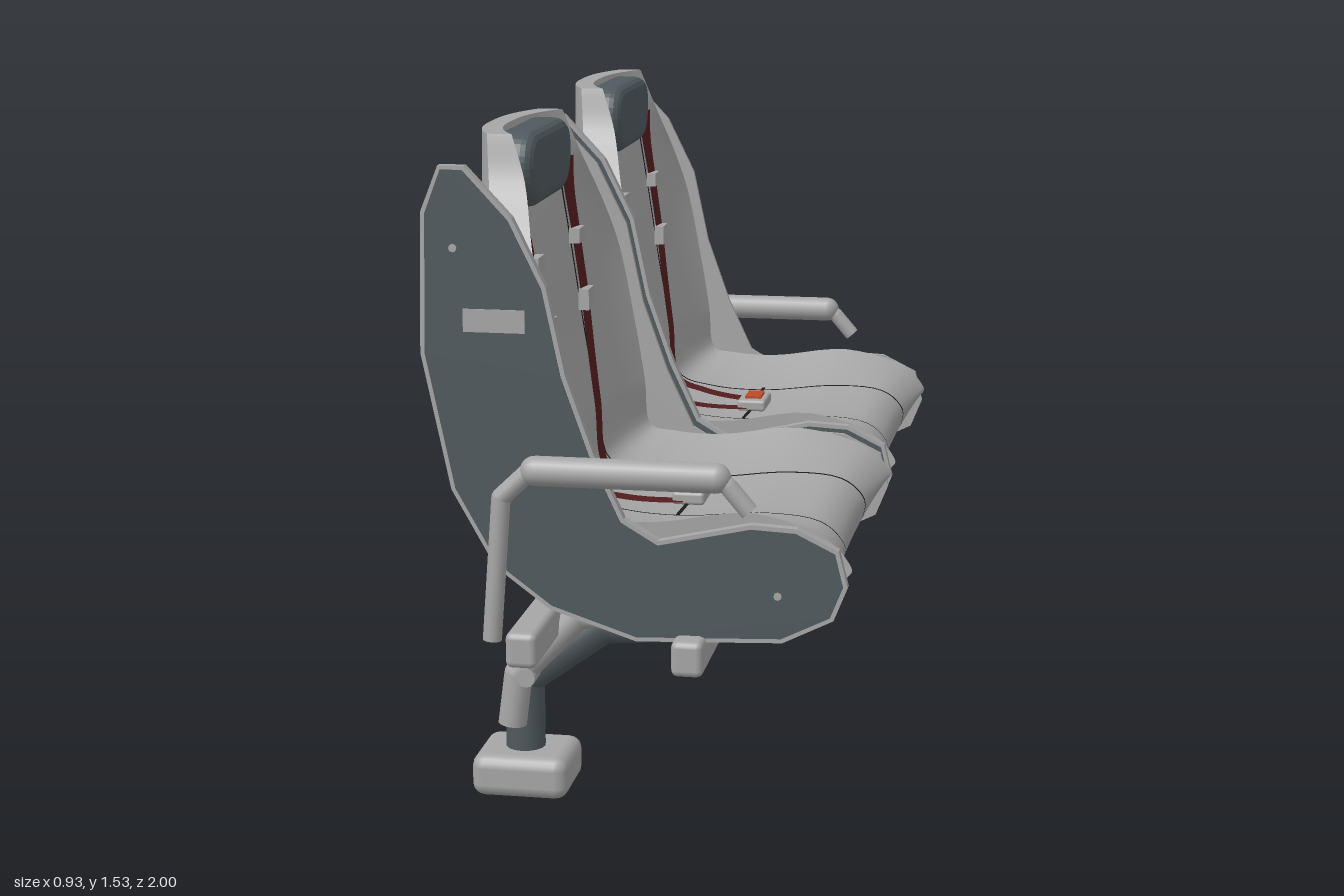
import * as THREE from 'three';
import { RoundedBoxGeometry } from 'three/addons/geometries/RoundedBoxGeometry.js';
import { ParametricGeometry } from 'three/addons/geometries/ParametricGeometry.js';

const paint = (name, color, side = THREE.FrontSide) => {
  const m = new THREE.MeshStandardMaterial({ color, side });
  m.name = name;
  return m;
};
const grey = paint('light grey', 0xa6a6a6, THREE.DoubleSide);
const slate = paint('slate', 0x4f595d);
const red = paint('belt red', 0x541d1f, THREE.DoubleSide);
const orange = paint('button orange', 0xbc4a28);
const black = paint('seam black', 0x1c1c1c, THREE.DoubleSide);

function add(parent, name, geometry, material, x = 0, y = 0, z = 0) {
  const mesh = new THREE.Mesh(geometry, material);
  mesh.name = name;
  mesh.position.set(x, y, z);
  parent.add(mesh);
  return mesh;
}

// Bent pipe: capped straight runs with ball joints, points given as [x, y]
function pipe(parent, name, points, radius, material, z) {
  const g = new THREE.Group();
  g.name = name;
  g.position.z = z;
  const pts = points.map(([x, y]) => new THREE.Vector3(x, y, 0));
  for (let i = 0; i < pts.length - 1; i++) {
    const dir = pts[i + 1].clone().sub(pts[i]);
    const run = add(g, name + 'Run', new THREE.CylinderGeometry(radius, radius, dir.length(), 16), material);
    run.position.copy(pts[i]).addScaledVector(dir, 0.5);
    run.quaternion.setFromUnitVectors(new THREE.Vector3(0, 1, 0), dir.normalize());
    if (i > 0) add(g, name + 'Bend', new THREE.SphereGeometry(radius, 16, 10), material, pts[i].x, pts[i].y);
  }
  parent.add(g);
}

// Seat sections from the top of the back to the front lip:
// [centre x, centre y, half width, edge shift x, edge shift y]
const FRONT = [
  [-.365, 1.53, .25, .06, 0], [-.34, 1.43, .28, .07, 0], [-.305, 1.3, .37, .07, 0],
  [-.28, 1.18, .42, .075, 0], [-.25, 1, .425, .08, 0], [-.22, .85, .425, .075, 0],
  [-.19, .705, .425, .06, .03], [-.1, .672, .42, .03, .05], [.05, .66, .41, 0, .06],
  [.25, .675, .4, 0, .07], [.37, .665, .415, .04, .035], [.415, .62, .42, .05, .02], [.41, .565, .42, .045, .05],
];
const BACK = [
  [-.41, 1.53, .25, .05, 0], [-.41, 1.43, .28, .06, 0], [-.41, 1.3, .37, .08, 0],
  [-.41, 1.18, .42, .09, 0], [-.395, 1, .425, .09, 0], [-.365, .82, .425, .09, 0],
  [-.3, .67, .425, .09, .04], [-.17, .58, .42, .07, .06], [.05, .55, .41, 0, .07],
  [.25, .545, .4, 0, .08], [.34, .545, .415, .04, .07], [.385, .545, .42, .045, .06], [.405, .55, .42, .045, .06],
];
function surface(rows) {
  const mid = new THREE.CatmullRomCurve3(rows.map(r => new THREE.Vector3(r[0], r[1], r[2])));
  const edge = new THREE.CatmullRomCurve3(rows.map(r => new THREE.Vector3(r[3], r[4], 0)), false, 'catmullrom', 0.5);
  const at = (u, v, out) => {
    const m = mid.getPoint(v), e = edge.getPoint(v), k = Math.abs(u) ** 2.6;
    return out.set(m.x + e.x * k, m.y + e.y * k, m.z * u);
  };
  return { at, mid };
}
const front = surface(FRONT), back = surface(BACK);
const sheet = (fn, nu, nv) => new ParametricGeometry(fn, nu, nv);

// Strip lying on the seat, centred on z = zAt(v)
function ribbon(v0, v1, zAt, width, lift) {
  return sheet((a, b, out) => {
    const v = v0 + (v1 - v0) * b, c = front.mid.getPoint(v), t = front.mid.getTangent(Math.min(v, .99));
    const n = Math.hypot(t.x, t.y) || 1;
    front.at((zAt(v) + (a - .5) * width) / c.z, v, out);
    out.x -= t.y / n * lift;
    out.y += t.x / n * lift;
  }, 3, 48);
}
const BELT = [[.09, .22], [.2, .212], [.292, .197], [.417, .143], [.5, .108], [.58, .085], [.66, .05]];
function beltZ(v) {
  let i = 0;
  while (i < BELT.length - 2 && v > BELT[i + 1][0]) i++;
  const [a, p] = BELT[i], [b, q] = BELT[i + 1];
  return p + (q - p) * (v - a) / (b - a);
}

// Headrest: soft-cornered pad, a little narrower at the bottom
function headrestGeometry() {
  const s = new THREE.Shape();
  s.moveTo(0, .055);
  s.lineTo(.135, .055);
  s.quadraticCurveTo(.176, .052, .176, .01);
  s.quadraticCurveTo(.172, -.05, .115, -.055);
  s.lineTo(-.115, -.055);
  s.quadraticCurveTo(-.172, -.05, -.176, .01);
  s.quadraticCurveTo(-.176, .052, -.135, .055);
  const bevel = { bevelThickness: .03, bevelSize: .03, bevelSegments: 4, curveSegments: 8 };
  return new THREE.ExtrudeGeometry(s, { depth: .04, ...bevel }).rotateY(Math.PI / 2);
}

// Side panel outline and its inset for the dark facing
const PANEL = [
  [-.42, 1.485], [-.46, 1.385], [-.467, 1.08], [-.405, .78], [-.31, .61], [-.19, .52], [0, .457], [.32, .47],
  [.43, .525], [.46, .6], [.44, .68], [.35, .725], [.25, .73], [.05, .685], [-.025, .73], [-.09, .87],
  [-.15, 1.04], [-.19, 1.23], [-.262, 1.377], [-.363, 1.485],
].map(p => new THREE.Vector2(...p));
const inset = (pts, d) => pts.map((p, i) => {
  const n = pts.length;
  const a = p.clone().sub(pts[(i + n - 1) % n]).normalize(), b = pts[(i + 1) % n].clone().sub(p).normalize();
  const s = a.add(b).normalize();
  return new THREE.Vector2(p.x - s.y * d, p.y + s.x * d);
});
const plate = (pts, depth) => new THREE.ExtrudeGeometry(new THREE.Shape(pts), { depth, bevelEnabled: false });

function sidePanel(seat, z, side, thick) {
  const g = new THREE.Group();
  g.name = 'sidePanel';
  g.position.z = z;
  add(g, 'panelBoard', plate(PANEL, thick), grey, 0, 0, -thick / 2);
  const face = side * thick / 2;
  add(g, 'panelFacing', plate(inset(PANEL, .01), .004), slate, 0, 0, face - .002);
  add(g, 'panelLabel', new THREE.BoxGeometry(.135, .05, .004), grey, -.303, 1.155, face + side * .003);
  for (const [x, y] of [[-.39, 1.31], [.31, .575]]) {
    add(g, 'panelScrew', new THREE.CylinderGeometry(.009, .009, .004, 8), grey, x, y, face + side * .003).rotation.x = Math.PI / 2;
  }
  seat.add(g);
}

function makeSeat(z) {
  const seat = new THREE.Group();
  seat.name = 'seat';
  seat.position.z = z;
  // Shell: upholstered front, plain back, and the rim joining them
  add(seat, 'upholstery', sheet((a, b, o) => front.at(1 - 2 * a, b, o), 28, 60), grey);
  add(seat, 'backShell', sheet((a, b, o) => back.at(2 * a - 1, b, o), 28, 60), grey);
  const tmp = new THREE.Vector3();
  for (const s of [-1, 1]) {
    add(seat, 'sideRim', sheet((a, b, o) => front.at(s, b, o).lerp(back.at(s, b, tmp), (1 - s) / 2 + s * a), 1, 60), grey);
    const v = (s + 1) / 2;
    add(seat, 'endRim', sheet((a, b, o) => front.at(2 * b - 1, v, o).lerp(back.at(2 * b - 1, v, tmp), (1 - s) / 2 + s * a), 1, 28), grey);
  }
  add(seat, 'headrest', headrestGeometry(), slate, -.34, 1.438, 0);
  // Harness and seams, mirrored
  for (const s of [-1, 1]) {
    add(seat, 'shoulderBelt', ribbon(.09, .66, v => s * beltZ(v), .05, .012), red);
    add(seat, 'seam', ribbon(.13, .99, v => s * (.185 + .02 * Math.cos(v * Math.PI * 2)), .007, .004), black);
    for (const [v, h] of [[.292, .05], [.21, .035]]) {
      front.at(s * beltZ(v) / front.mid.getPoint(v).z, v, tmp);
      add(seat, 'beltAdjuster', new THREE.BoxGeometry(.025, h, .06), grey, tmp.x + .014, tmp.y, tmp.z);
    }
    add(seat, 'lowerBelt', new THREE.BoxGeometry(.012, .075, .04), red, -.02, .525, s * .28);
  }
  add(seat, 'cushionSeam', ribbon(.662, .667, () => 0, .38, .006), black);
  add(seat, 'buckle', new RoundedBoxGeometry(.075, .03, .12, 2, .008), grey, .048, .678, 0);
  add(seat, 'buckleButton', new THREE.BoxGeometry(.042, .009, .07), orange, .05, .695, 0);
  sidePanel(seat, .43, 1, .022);
  sidePanel(seat, -.439, -1, .012);
  return seat;
}

export function createModel() {
  const model = new THREE.Group();
  model.name = 'doubleSeat';
  for (const z of [.479, -.485]) model.add(makeSeat(z));

  // Cross bars
  for (const x of [-.245, .12]) {
    add(model, 'crossBar', new RoundedBoxGeometry(.07, .08, 1.95, 2, .015), grey, x, .437, 0);
  }

  for (const s of [-1, 1]) {
    // Main legs and feet
    pipe(model, 'leg', [[-.315, .06], [-.315, .27], [-.13, .405], [.145, .425]], .046, slate, s * .647);
    add(model, 'foot', new RoundedBoxGeometry(.225, .1, .198, 2, .03), grey, -.312, .052, s * .647);
    // Seat support tubes with pivot pins
    for (const z of [.245, .72]) {
      pipe(model, 'supportTube', [[-.328, .18], [-.312, .3], [-.17, .447], [-.04, .458], [.2, .51]], .033, grey, s * z);
      add(model, 'pivotPin', new THREE.CylinderGeometry(.022, .022, .07, 12), grey, -.288, .3, s * z).rotation.x = Math.PI / 2;
    }
    // Armrests
    const z = s * .967;
    add(model, 'armrestPad', new THREE.CapsuleGeometry(.033, .39, 6, 14), grey, -.012, .842, z).rotation.z = Math.PI / 2;
    pipe(model, 'armrestPost', [[-.308, .46], [-.283, .78], [-.215, .845]], .021, grey, z);
    pipe(model, 'armrestTip', [[.19, .84], [.21, .825], [.255, .772]], .02, grey, z);
  }
  return model;
}
